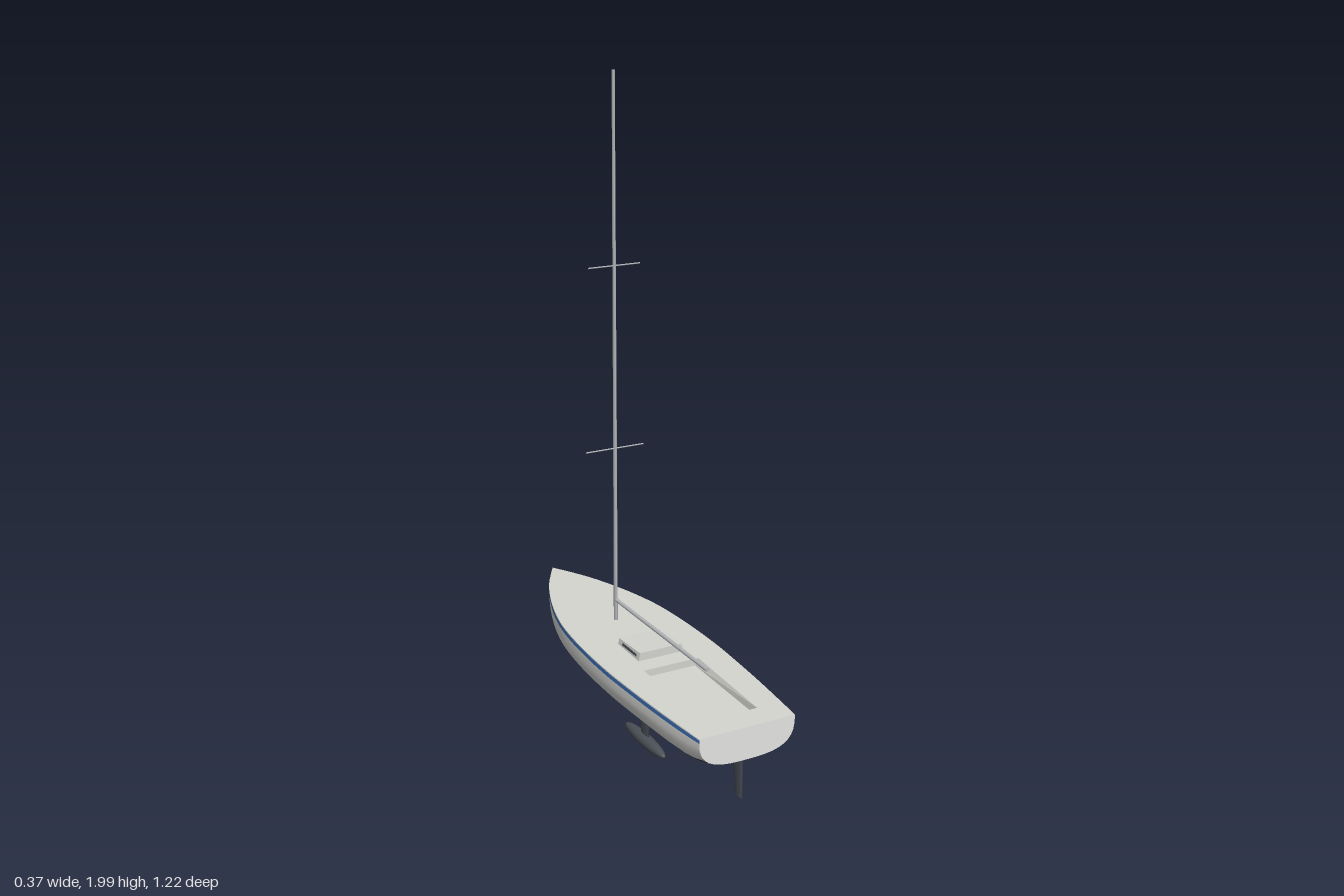
import * as THREE from 'three';
import { mergeVertices } from 'three/addons/utils/BufferGeometryUtils.js';

const mat = (name, color, side = THREE.FrontSide) => {
  const m = new THREE.MeshStandardMaterial({ color, side });
  m.name = name;
  return m;
};

// Piecewise-linear lookup through [z, value] knots
const lookup = (knots, z) => {
  for (let i = 1; i < knots.length; i++) {
    const [a, va] = knots[i - 1], [b, vb] = knots[i];
    if (z <= b) return va + (vb - va) * (z - a) / (b - a);
  }
  return knots[knots.length - 1][1];
};

// Hull lines: bow at -z, stern at +z
const beamCurve = new THREE.SplineCurve([
  [-0.61, 0], [-0.5, 0.064], [-0.4, 0.107], [-0.3, 0.14], [-0.2, 0.163], [-0.1, 0.175],
  [0, 0.181], [0.1, 0.183], [0.2, 0.181], [0.4, 0.169], [0.61, 0.15],
].map(([z, b]) => new THREE.Vector2(z, b)));
const sheer = z => 0.347 - 0.0115 * z;
const keelLine = z => lookup([[-0.61, 0.28], [-0.54, 0.25], [-0.45, 0.219], [-0.38, 0.214],
  [0, 0.212], [0.45, 0.214], [0.54, 0.219], [0.61, 0.243]], z);
const stations = beamCurve.getPoints(60).map(p => ({ z: p.x, b: Math.max(p.y, 0) }));

// Half section as [width share, depth share] on a superellipse
const N = 3.1;
const other = v => Math.pow(1 - Math.pow(v, N), 1 / N);
const half = [
  ...[0, 0.03, 0.13, 0.3, 0.45, 0.6, 0.72].map(d => [other(d), d]),
  ...[0.8, 0.68, 0.52, 0.35, 0.18, 0].map(u => [u, other(u)]),
];
const section = [...half, ...half.slice(0, -1).reverse().map(([u, d]) => [-u, d])];
const sectionPoint = ({ z, b }, [u, d]) => [u * b, sheer(z) - d * (sheer(z) - keelLine(z)), z];

function makeGeometry(positions, index) {
  const g = new THREE.BufferGeometry();
  g.setAttribute('position', new THREE.Float32BufferAttribute(positions, 3));
  if (index) g.setIndex(index);
  g.computeVertexNormals();
  return g;
}

function hullGeometry() {
  const positions = [], index = [], groups = [];
  const cols = section.length;
  stations.forEach(s => section.forEach(p => positions.push(...sectionPoint(s, p))));
  for (let c = 0; c < cols - 1; c++) {
    const start = index.length;
    for (let r = 0; r < stations.length - 1; r++) {
      const a = r * cols + c, b = a + 1, d = a + cols, e = d + 1;
      index.push(a, b, d, b, e, d);
    }
    // 0 topsides, 1 stripe, 2 bottom paint
    const band = Math.min(c, cols - 2 - c);
    groups.push([start, index.length - start, band === 1 ? 1 : band >= 6 ? 2 : 0]);
  }
  const g = makeGeometry(positions, index);
  groups.forEach(v => g.addGroup(...v));
  return g;
}

// Blade with an eye-shaped section, tapering from top to bottom: [y, zFore, zAft]
function bladeGeometry(top, bottom, thick) {
  const ring = ([y, z0, z1]) => {
    const pts = [];
    for (let i = 0; i < 12; i++) {
      const a = i / 12 * Math.PI * 2;
      pts.push([Math.sin(a) * thick / 2, y, (z0 + z1) / 2 + Math.cos(a) * (z1 - z0) / 2]);
    }
    return pts;
  };
  const t = ring(top), b = ring(bottom), index = [];
  for (let i = 0; i < 12; i++) {
    const j = (i + 1) % 12;
    index.push(i, 12 + i, j, j, 12 + i, 12 + j);
    if (i > 0 && i < 11) index.push(12, 12 + i + 1, 12 + i);
  }
  return makeGeometry([...t, ...b].flat(), index);
}

export function createModel() {
  const hullWhite = mat('hull white', 0xececea, THREE.DoubleSide);
  const stripeBlue = mat('stripe blue', 0x3f74bd, THREE.DoubleSide);
  const bottomPaint = mat('bottom paint', 0x34373a, THREE.DoubleSide);
  const deckGrey = mat('deck grey', 0xd6d6d1, THREE.DoubleSide);
  const metal = mat('spar metal', 0xb4b7ba);
  const darkGrey = mat('foil grey', 0x4b5157, THREE.DoubleSide);

  const model = new THREE.Group();
  model.name = 'sailingYacht';
  const add = (name, geometry, material, x = 0, y = 0, z = 0) => {
    const m = new THREE.Mesh(geometry, material);
    m.name = name;
    m.position.set(x, y, z);
    model.add(m);
    return m;
  };

  add('hull', hullGeometry(), [hullWhite, stripeBlue, bottomPaint]);

  // Transom closes the stern section
  const stern = stations[stations.length - 1];
  const transom = new THREE.Shape(section.map(p => {
    const [x, y] = sectionPoint(stern, p);
    return new THREE.Vector2(x, y);
  }));
  add('transom', new THREE.ShapeGeometry(transom), hullWhite, 0, 0, stern.z);

  // Deck with the cockpit opening
  const rim = [[-0.09, 0.19], [0.09, 0.19], [0.079, 0.53], [-0.079, 0.53]];
  const sole = [[-0.08, 0.19], [0.08, 0.19], [0.076, 0.527], [-0.076, 0.527]];
  const v2 = ([x, z]) => new THREE.Vector2(x, -z);
  const deckShape = new THREE.Shape([
    ...stations.map(s => v2([s.b, s.z])),
    ...stations.slice(1).reverse().map(s => v2([-s.b, s.z])),
  ]);
  deckShape.holes.push(new THREE.Path(rim.map(v2)));
  const deck = new THREE.ShapeGeometry(deckShape).rotateX(-Math.PI / 2);
  const dp = deck.attributes.position;
  for (let i = 0; i < dp.count; i++) dp.setY(i, sheer(dp.getZ(i)));
  deck.computeVertexNormals();
  add('deck', deck, deckGrey);

  // Cockpit well: sloping walls and floor
  const drop = 0.022;
  const hi = rim.map(([x, z]) => [x, sheer(z), z]);
  const lo = sole.map(([x, z]) => [x, sheer(z) - drop, z]);
  const walls = [];
  for (let i = 0; i < 4; i++) {
    const j = (i + 1) % 4;
    walls.push(hi[i], lo[i], hi[j], hi[j], lo[i], lo[j]);
  }
  add('cockpitWalls', makeGeometry(walls.flat()), deckGrey);
  add('cockpitFloor', makeGeometry(lo.flat(), [0, 2, 1, 0, 3, 2]), deckGrey);

  // Low cabin trunk with sloping sides, higher at its aft end
  const cabin = new THREE.BoxGeometry(0.15, 0.03, 0.13);
  const cp = cabin.attributes.position;
  for (let i = 0; i < cp.count; i++) {
    if (cp.getY(i) < 0) continue;
    cp.setX(i, cp.getX(i) * 0.93);
    if (cp.getZ(i) < 0) cp.setY(i, 0.01);
  }
  cabin.computeVertexNormals();
  add('cabin', cabin, deckGrey, 0, 0.355, 0.065);
  for (const s of [-1, 1]) {
    const win = add(s > 0 ? 'leftWindow' : 'rightWindow',
      new THREE.BoxGeometry(0.003, 0.007, 0.085), darkGrey, s * 0.0725, 0.357, 0.07);
    win.rotation.z = s * 0.17;
  }

  // Mast: oval tube, slimmer across and tapering aloft
  const mast = add('mast', new THREE.CylinderGeometry(0.0062, 0.0085, 1.66, 16), metal, 0, 1.17, -0.157);
  mast.scale.x = 0.65;
  for (const [y, w] of [[0.9, 0.095], [1.45, 0.083]]) {
    add('spreaders', new THREE.CylinderGeometry(0.0022, 0.0022, w * 2, 8).rotateZ(Math.PI / 2), metal, 0, y, -0.157);
  }

  // Boom
  add('boom', new THREE.CylinderGeometry(0.006, 0.006, 0.545, 12).rotateX(Math.PI / 2), metal, 0, 0.415, 0.1225);

  // Keel fin, ballast bulb and rudder
  add('keelFin', bladeGeometry([0.22, -0.008, 0.06], [0.03, 0.008, 0.056], 0.009), darkGrey);
  const bulb = mergeVertices(new THREE.SphereGeometry(0.0205, 24, 16).rotateX(Math.PI / 2));
  add('ballastBulb', bulb, darkGrey, 0, 0.026, 0.033).scale.z = 5.95;
  add('rudder', bladeGeometry([0.24, 0.535, 0.585], [0.113, 0.555, 0.59], 0.009), darkGrey);

  return model;
}
